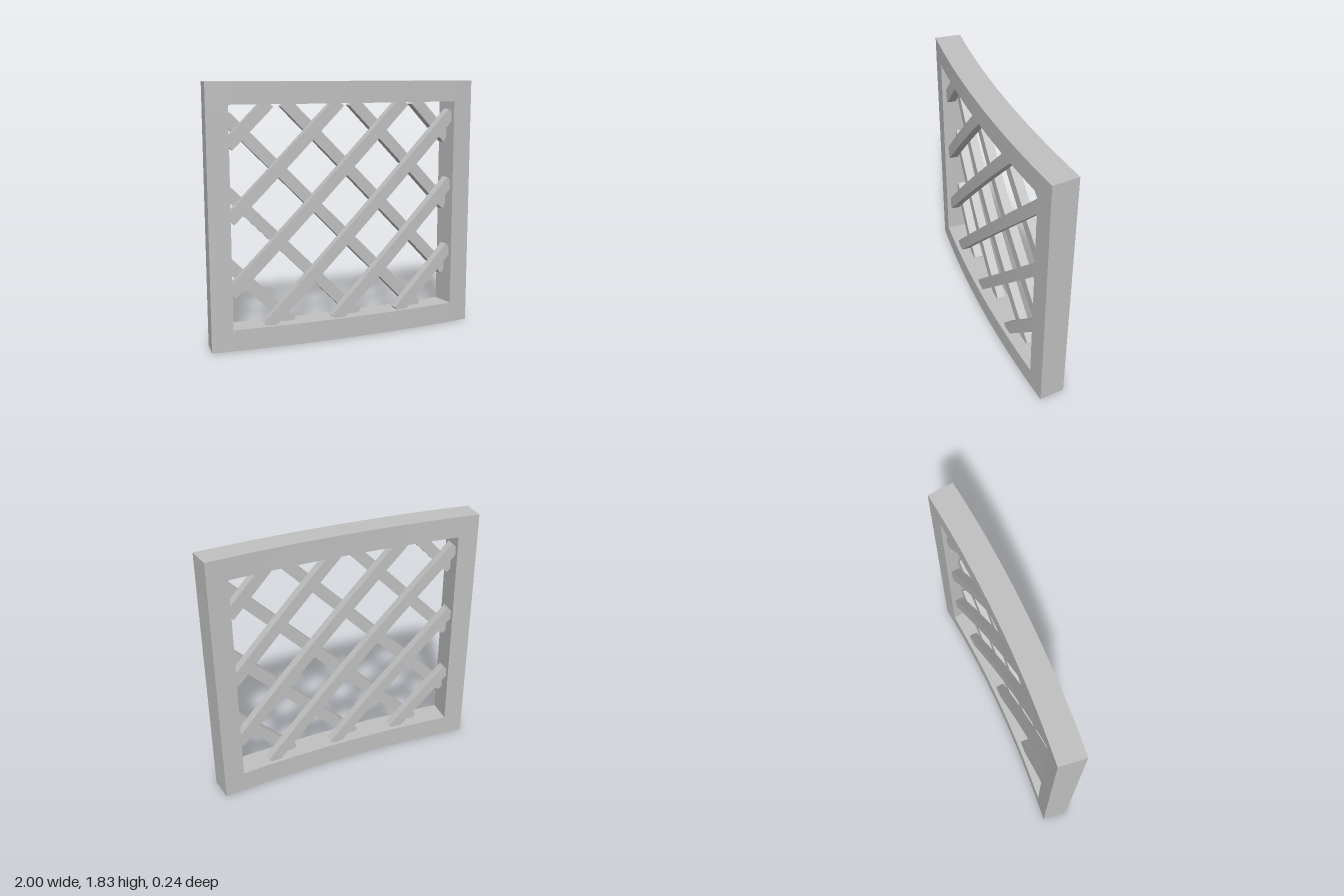
import * as THREE from 'three';

const R = 9.1;          // radius of the bowed front face
const FRONT = 0.12;     // z of the front face at the middle
const DEPTH = 0.185;    // frame depth
const ARC = Math.asin(1 / R);

// Wraps a flat geometry around the vertical axis of the bow
function bend(geometry) {
  const p = geometry.attributes.position;
  for (let i = 0; i < p.count; i++) {
    const angle = p.getX(i) * ARC;
    const r = R + p.getZ(i) - FRONT;
    p.setXYZ(i, r * Math.sin(angle), p.getY(i), r * Math.cos(angle) - R + FRONT);
  }
  geometry.computeVertexNormals();
  return geometry;
}

export function createModel() {
  const model = new THREE.Group();
  model.name = 'bowedLatticePanel';
  const grey = new THREE.MeshStandardMaterial({ color: 0xc0c0c0 });
  grey.name = 'light grey';

  const add = (name, geometry, parent = model) => {
    const mesh = new THREE.Mesh(bend(geometry), grey);
    mesh.name = name;
    parent.add(mesh);
  };

  // Frame: two full-width rails with two stiles between them
  const H = 1.83, B = 0.15, midZ = FRONT - DEPTH / 2;
  for (const [name, y] of [['bottomRail', B / 2], ['topRail', H - B / 2]]) {
    add(name, new THREE.BoxGeometry(2, B, DEPTH, 32).translate(0, y, midZ));
  }
  for (const [name, side] of [['leftStile', 1], ['rightStile', -1]]) {
    add(name, new THREE.BoxGeometry(B, H - 2 * B, DEPTH, 4)
      .translate(side * (1 - B / 2), H / 2, midZ));
  }

  // Lattice: rising slats in front, mirrored falling slats behind
  const thick = 0.0625, maxX = 0.853, minY = 0.14, maxY = 1.69;
  for (const [name, dir] of [['frontSlats', 1], ['backSlats', -1]]) {
    const layer = new THREE.Group();
    layer.name = name;
    model.add(layer);
    const z = midZ + dir * thick / 2;
    for (let i = 0; i < 6; i++) {
      // Centre line y = x + c, cut off at the opening
      const c = -0.27 + i * 0.506;
      const x0 = Math.max(-maxX, minY - c);
      const x1 = Math.min(maxX, maxY - c);
      const x = (x0 + x1) / 2;
      add('slat', new THREE.BoxGeometry((x1 - x0) * Math.SQRT2, 0.083, thick, 20)
        .rotateZ(dir * Math.PI / 4)
        .translate(dir * x, x + c, z), layer);
    }
  }
  return model;
}
